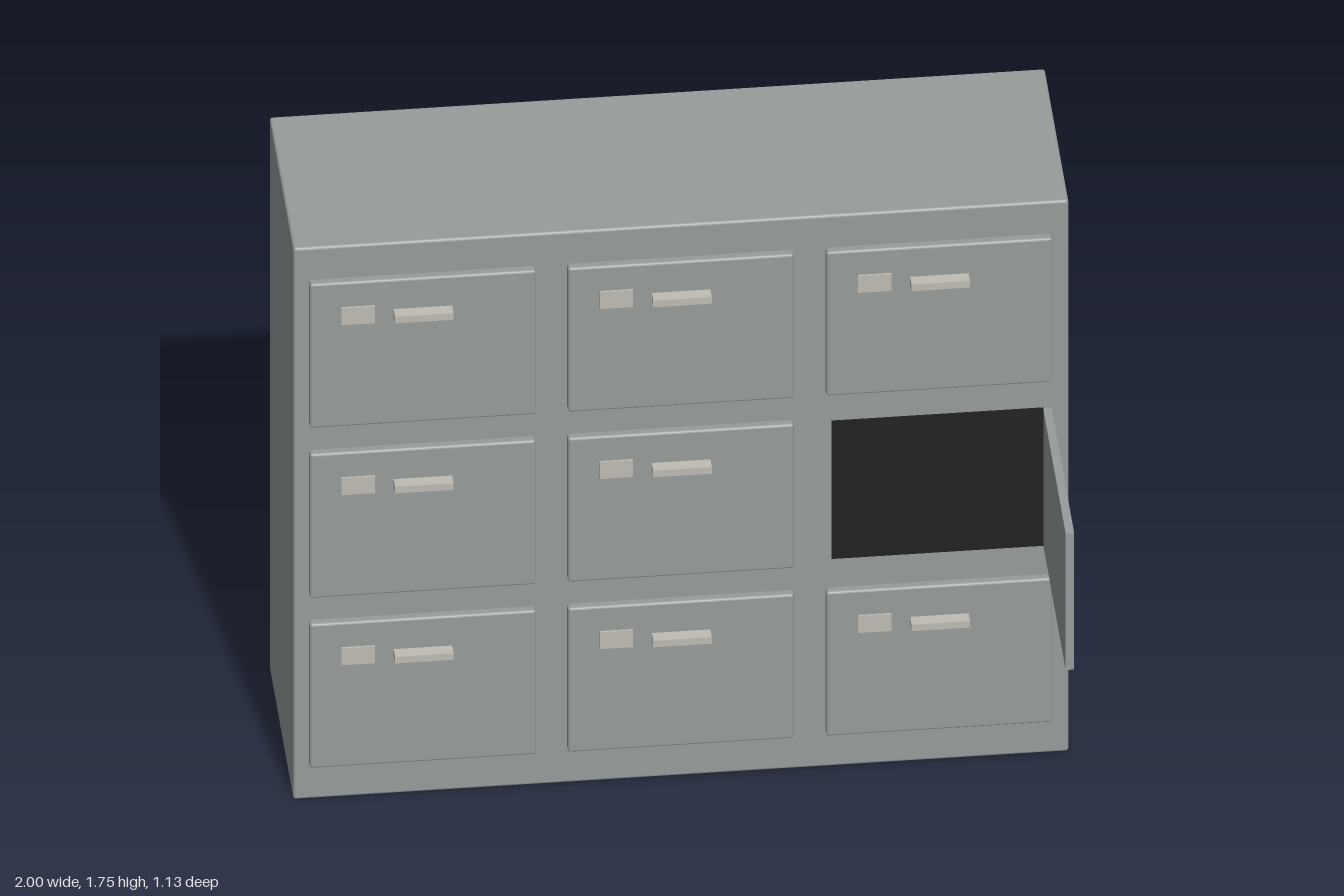
import * as THREE from 'three';
import { RoundedBoxGeometry } from 'three/addons/geometries/RoundedBoxGeometry.js';

const paint = (name, color) => {
  const m = new THREE.MeshStandardMaterial({ color });
  m.name = name;
  return m;
};

export function createModel() {
  const group = new THREE.Group();
  group.name = 'lockerCabinet';
  const steel = paint('greySteel', 0x979d9c);
  const trim = paint('paleTrim', 0xbfbcb4);
  const dark = paint('darkInterior', 0x222222);

  const add = (parent, name, geometry, material, x, y, z) => {
    const mesh = new THREE.Mesh(geometry, material);
    mesh.name = name;
    mesh.position.set(x, y, z);
    parent.add(mesh);
  };

  // Cabinet body with softly rounded edges
  add(group, 'body', new RoundedBoxGeometry(2, 1.75, 0.58, 2, 0.008), steel, 0, 0.875, -0.275);

  // Shared geometry for the closed doors
  const doorGeo = new RoundedBoxGeometry(0.583, 0.457, 0.03, 2, 0.007);
  const labelGeo = new THREE.BoxGeometry(0.086, 0.054, 0.008);
  const handleGeo = new THREE.BoxGeometry(0.151, 0.021, 0.036);

  const columns = [-0.668, -0.002, 0.664];
  const rows = [1.42, 0.88, 0.34];
  rows.forEach((y, r) => columns.forEach((x, c) => {
    if (r === 1 && c === 2) return; // this compartment stands open
    const door = new THREE.Group();
    door.name = 'door';
    door.position.set(x, y, 0);
    add(door, 'doorPanel', doorGeo, steel, 0, 0, 0.022);
    add(door, 'labelHolder', labelGeo, trim, -0.167, 0.125, 0.038);
    add(door, 'handle', handleGeo, trim, 0, 0.125, 0.053);
    group.add(door);
  }));

  // Open compartment: dark opening and the door swung out on its right edge
  add(group, 'opening', new THREE.BoxGeometry(0.547, 0.437, 0.006), dark, 0.6615, 0.88, 0.016);
  add(group, 'openDoor', new THREE.BoxGeometry(0.022, 0.433, 0.552), steel, 0.945, 0.88, 0.289);

  return group;
}
